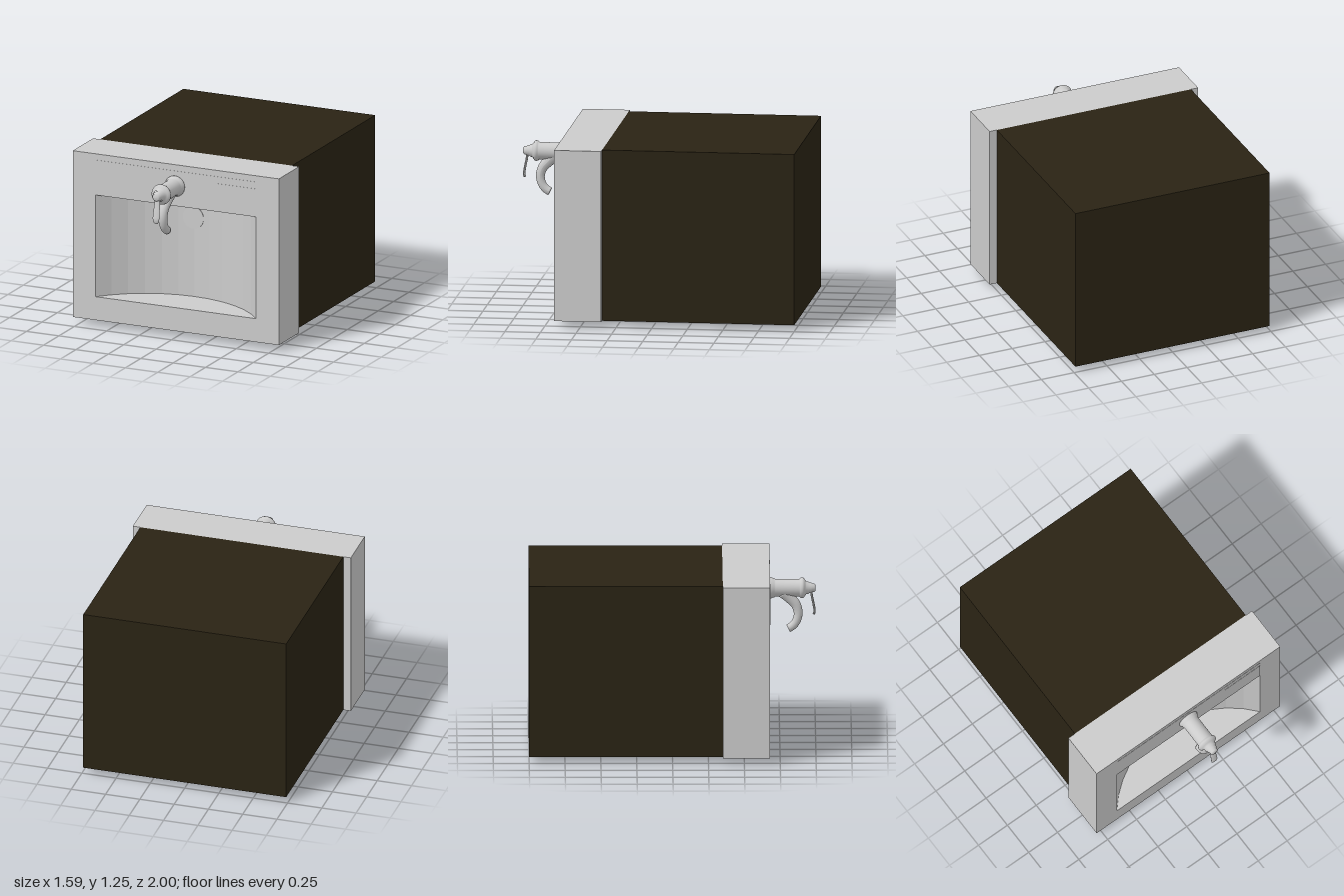
import * as THREE from 'three';

const grey = new THREE.MeshStandardMaterial({ color: 0xcccccc });
const greyFlat = new THREE.MeshStandardMaterial({ color: 0xcccccc, flatShading: true, side: THREE.DoubleSide });
const dark = new THREE.MeshStandardMaterial({ color: 0x2a2314 });

function add(parent, name, geometry, material, x = 0, y = 0, z = 0) {
  const mesh = new THREE.Mesh(geometry, material);
  mesh.name = name;
  mesh.position.set(x, y, z);
  parent.add(mesh);
  return mesh;
}

// Box given by its lower and upper corners
function addBox(parent, name, [x0, y0, z0], [x1, y1, z1], material) {
  return add(parent, name, new THREE.BoxGeometry(x1 - x0, y1 - y0, z1 - z0), material,
    (x0 + x1) / 2, (y0 + y1) / 2, (z0 + z1) / 2);
}

// Tube along [z, y] points, with its own width (x) and thickness, and flat ends
function taperedTube(points, width, thickness, segments = 32, sides = 20) {
  const curve = new THREE.CatmullRomCurve3(points.map(([z, y]) => new THREE.Vector3(0, y, z)));
  const geometry = new THREE.TubeGeometry(curve, segments, 1, sides, false);
  const pos = geometry.attributes.position;
  const v = new THREE.Vector3();
  for (let i = 0; i <= segments; i++) {
    const t = i / segments;
    const centre = curve.getPointAt(t);
    // The end rings collapse onto their neighbours' centres as caps
    const cap = i === 0 || i === segments;
    const target = cap ? curve.getPointAt(i === 0 ? 1 / segments : 1 - 1 / segments) : centre;
    const w = cap ? 0 : width(t), h = cap ? 0 : thickness(t);
    for (let j = 0; j <= sides; j++) {
      const k = i * (sides + 1) + j;
      v.fromBufferAttribute(pos, k).sub(centre);
      pos.setXYZ(k, target.x + v.x * w, target.y + v.y * h, target.z + v.z * h);
    }
  }
  geometry.computeVertexNormals();
  return geometry;
}

export function createModel() {
  const model = new THREE.Group();
  model.name = 'waterDispenser';

  // Dark housing and its two foot rails
  addBox(model, 'housing', [-0.74, 0.045, -1], [0.74, 1.255, 0.35], dark);
  for (const z of [0.035, -0.638]) {
    addBox(model, 'footRail', [-0.235, 0, z - 0.02], [0.235, 0.045, z + 0.02], grey);
  }

  // Front frame with a rectangular opening
  const frame = new THREE.Shape([[-0.795, 0.045], [0.795, 0.045], [0.795, 1.255], [-0.795, 1.255]]
    .map(([x, y]) => new THREE.Vector2(x, y)));
  frame.holes.push(new THREE.Path([[-0.62, 0.215], [-0.62, 0.955], [0.62, 0.955], [0.62, 0.215]]
    .map(([x, y]) => new THREE.Vector2(x, y))));
  add(model, 'frontFrame', new THREE.ExtrudeGeometry(frame, { depth: 0.33, bevelEnabled: false }), grey, 0, 0, 0.35);

  // Faceted curved back of the niche
  const radius = 0.79;
  const half = Math.asin(0.62 / radius);
  add(model, 'nicheWall',
    new THREE.CylinderGeometry(radius, radius, 0.74, 12, 1, true, Math.PI - half, 2 * half),
    greyFlat, 0, 0.585, 0.68 + radius * Math.cos(half));

  // Round plate on the niche wall
  add(model, 'nichePlate', new THREE.CylinderGeometry(0.08, 0.08, 0.02, 48), grey, -0.005, 0.79, 0.378)
    .rotation.x = Math.PI / 2;

  // Nearly flush control panel and display
  addBox(model, 'controlPanel', [-0.62, 0.957, 0.67], [0.62, 1.21, 0.6815], grey);
  addBox(model, 'display', [0.31, 0.97, 0.67], [0.62, 1.16, 0.683], grey);

  // Tap
  const tap = new THREE.Group();
  tap.name = 'tap';
  tap.position.x = -0.005;
  model.add(tap);

  // Turned barrel: [radius, z]
  const profile = [
    [0, 0.675], [0.075, 0.675], [0.075, 0.69], [0.067, 0.702], [0.066, 0.712], [0.06, 0.72],
    [0.06, 0.885], [0.069, 0.893], [0.073, 0.906], [0.069, 0.918], [0.056, 0.925],
    [0.044, 0.935], [0.044, 0.948], [0.036, 0.956], [0.037, 0.968], [0.03, 0.975],
    [0.028, 0.99], [0.02, 0.998], [0, 1],
  ].map(([r, z]) => new THREE.Vector2(r, z));
  add(tap, 'barrel', new THREE.LatheGeometry(profile, 32), grey, 0, 1.1, 0).rotation.x = Math.PI / 2;

  // Curved spout
  const spoutRadius = t => 0.029 + 0.022 * Math.pow(1 - t, 3);
  add(tap, 'spout', taperedTube(
    [[0.77, 1.08], [0.815, 1.035], [0.862, 0.98], [0.878, 0.92], [0.865, 0.865], [0.838, 0.83], [0.8, 0.808]],
    spoutRadius, spoutRadius), grey);

  // Flat lever, wider towards the bottom and rounded at its tip
  const tip = t => Math.sqrt(Math.max(0.05, 1 - Math.pow(t, 8)));
  add(tap, 'lever', taperedTube(
    [[0.965, 1.1], [0.974, 1.04], [0.986, 0.98], [0.992, 0.935], [0.985, 0.907]],
    t => (0.018 + 0.012 * t) * tip(t), () => 0.008), grey);

  return model;
}
